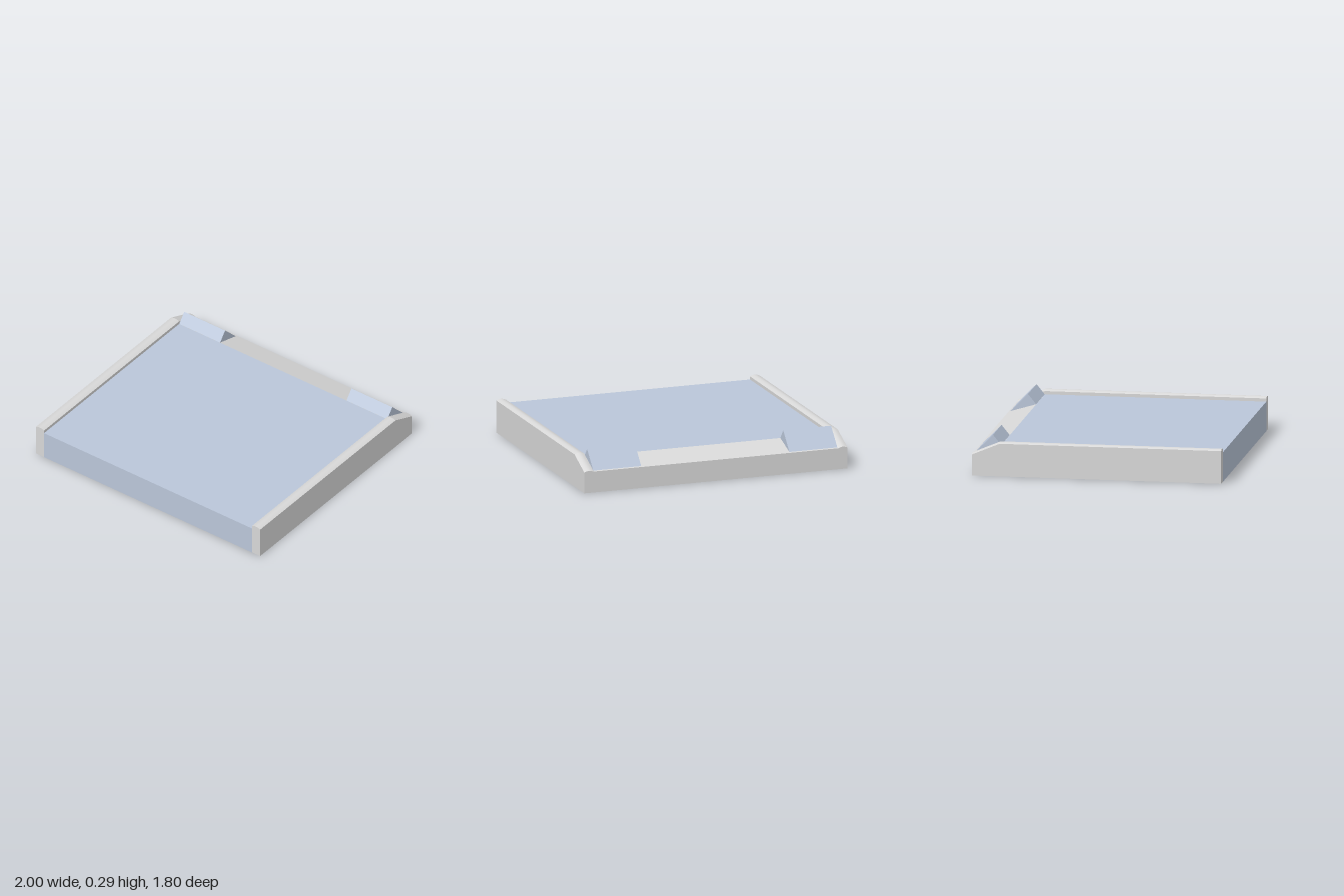
import * as THREE from 'three';
import { toCreasedNormals } from 'three/addons/utils/BufferGeometryUtils.js';

const grey = new THREE.MeshStandardMaterial({ color: 0xd8d8d8 });
grey.name = 'light grey';
const blue = new THREE.MeshStandardMaterial({ color: 0xbac6d9 });
blue.name = 'pale blue';

const HALF = 0.9;      // half depth
const INNER = 0.927;   // inner face of the rails
const BEND = -0.7;     // where the back slope starts

// Prism along x from a profile of [z, y] points
function prism(name, profile, x0, x1, material) {
  const shape = new THREE.Shape(profile.map(([z, y]) => new THREE.Vector2(z, y)));
  const geometry = new THREE.ExtrudeGeometry(shape, { depth: x1 - x0, bevelEnabled: false });
  geometry.rotateY(-Math.PI / 2).translate(x1, 0, 0);
  const mesh = new THREE.Mesh(geometry, material);
  mesh.name = name;
  return mesh;
}

// Side rail with a gently crowned top that slopes down at the back
function rail(name, side) {
  const bottom = 0.001;
  const points = [new THREE.Vector2(INNER, bottom), new THREE.Vector2(1, bottom)];
  const n = 8;
  for (let i = 0; i <= n; i++) {
    const t = i / n;
    points.push(new THREE.Vector2(1 + (INNER - 1) * t, 0.238 + 0.01 * Math.sin(Math.PI * t)));
  }
  const shape = new THREE.Shape(points.map((p) => new THREE.Vector2(p.x * side, p.y)));
  const geometry = new THREE.ExtrudeGeometry(shape, { depth: 2 * HALF, steps: 9, bevelEnabled: false });
  geometry.translate(0, 0, -HALF);
  const pos = geometry.attributes.position;
  for (let i = 0; i < pos.count; i++) {
    if (pos.getZ(i) < BEND - 0.01 && pos.getY(i) > 0.1) pos.setY(i, pos.getY(i) - 0.084);
  }
  const mesh = new THREE.Mesh(toCreasedNormals(geometry, 0.36), grey);
  mesh.name = name;
  return mesh;
}

export function createModel() {
  const model = new THREE.Group();
  model.name = 'tray';

  // Deck slab and the sloped back ramp
  model.add(prism('deck', [[BEND, 0], [HALF, 0], [HALF, 0.215], [BEND, 0.215]], -INNER, INNER, blue));
  model.add(prism('backRamp', [[-HALF, 0.001], [BEND, 0.001], [BEND, 0.215], [-HALF, 0.155]], -INNER, INNER, grey));

  // Underside
  const underside = new THREE.Mesh(new THREE.PlaneGeometry(2, 2 * HALF).rotateX(Math.PI / 2), blue);
  underside.name = 'underside';
  model.add(underside);

  // Rails and wedge stops
  const wedge = [[-0.89, 0.156], [BEND, 0.213], [-0.76, 0.287]];
  for (const side of [-1, 1]) {
    const label = side > 0 ? 'left' : 'right';
    model.add(rail(label + 'Rail', side));
    const [x0, x1] = side > 0 ? [0.563, INNER] : [-INNER, -0.563];
    model.add(prism(label + 'WedgeStop', wedge, x0, x1, blue));
  }
  return model;
}
